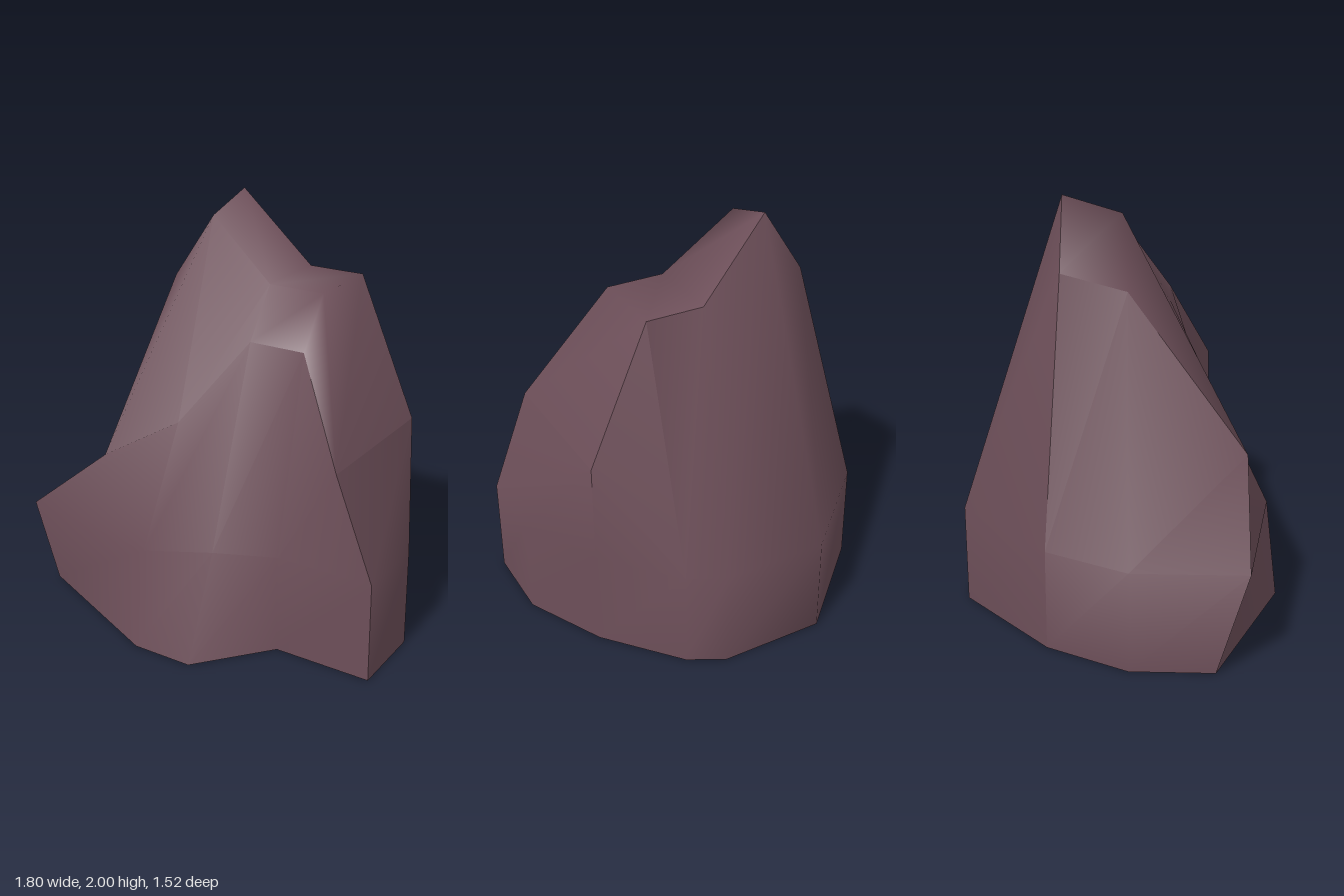
import * as THREE from 'three';

// Rock shell, open underneath, with a tall peak, a lower shoulder and a front buttress.
export function createModel() {
  const stone = new THREE.MeshStandardMaterial({ color: 0x6d4f59, side: THREE.DoubleSide });
  stone.name = 'dusky stone';

  // Ground outline as [x, z], counter-clockwise from above
  const base = [
    [0.9, 0.43], [0.9, 0.05], [0.71, -0.33], [0.42, -0.67], [0.25, -0.76], [-0.26, -0.76],
    [-0.71, -0.33], [-0.9, 0.05], [-0.9, 0.44], [-0.16, 0.76], [0.14, 0.76], [0.42, 0.43],
  ];
  // Outline at the top of the wall: only the front differs
  const mid = base.slice();
  mid[8] = [-0.9, 0.58];
  mid[9] = [-0.14, 0.70];
  mid[10] = [0.14, 0.55];

  const points = {
    sideFront: [0.71, 0.98, 0.43], sideBack: [0.71, 0.98, -0.33],
    buttressL: [0.42, 1.42, 0.22], buttressR: [0.14, 1.42, 0.22],
    shelfFL: [0.42, 1.65, 0.05], shelfBL: [0.42, 1.65, -0.33],
    shelfFR: [0.14, 1.65, 0.05], shelfBR: [0.14, 1.65, -0.33],
    peakF: [-0.2, 1.92, 0], peakB: [-0.2, 2, -0.27],
    neckF: [-0.4, 1.61, 0.03], neckB: [-0.4, 1.69, -0.27],
    ledge: [-0.44, 0.86, 0.58], valley: [-0.15, 1.02, 0.39],
  };
  base.forEach(([x, z], i) => { points['b' + i] = [x, 0, z]; });
  mid.forEach(([x, z], i) => { points['m' + i] = [x, 0.49, z]; });

  // One quad of the lower wall
  const wall = (i) => {
    const j = (i + 1) % base.length;
    return `b${i} b${j} m${j} m${i}`;
  };

  // Parts are smooth inside and sharp where they meet.
  // A starred corner sits in the same place but keeps its own normal, for a local crease.
  const parts = {
    backAndLeftSide: [
      wall(0), wall(1), wall(2), wall(3), wall(4), wall(5),
      'm0 m1 sideBack sideFront', 'm1 m2 sideBack',
      'm2 m3 sideBack*', 'm3 shelfBL* sideBack*',
      'm3 m4 shelfBR shelfBL', 'm4 m5 peakB shelfBR', 'm5 m6 neckB peakB',
    ],
    rightFlank: [wall(6), wall(7), 'm6 m7 neckF neckB', 'm7 m8 ledge neckF'],
    frontAndCrown: [
      wall(8), wall(9), wall(10), wall(11),
      'm8 m9 valley', 'm8 valley ledge', 'm9 buttressR valley',
      'm9 m10 buttressR', 'm10 buttressL buttressR', 'm10 m11 buttressL',
      'm11 sideFront buttressL', 'm11 m0 sideFront',
      'ledge valley peakF', 'ledge peakF neckF', 'valley buttressR shelfFR peakF',
      'buttressR buttressL* shelfFL shelfFR', 'shelfFR shelfFL shelfBL shelfBR',
      'shelfFR shelfBR peakB peakF', 'peakF peakB neckB neckF',
      'sideFront* sideBack shelfBL', 'sideFront* shelfBL shelfFL buttressL*',
    ],
  };

  const group = new THREE.Group();
  group.name = 'rockFormation';
  for (const [name, faces] of Object.entries(parts)) {
    const corners = [...new Set(faces.join(' ').split(' '))];
    const positions = corners.flatMap((key) => points[key.replace('*', '')]);
    // Split each face into a fan of triangles
    const index = [];
    for (const face of faces) {
      const p = face.split(' ').map((key) => corners.indexOf(key));
      for (let k = 1; k < p.length - 1; k++) index.push(p[0], p[k], p[k + 1]);
    }
    const geometry = new THREE.BufferGeometry();
    geometry.setAttribute('position', new THREE.Float32BufferAttribute(positions, 3));
    geometry.setIndex(index);
    geometry.computeVertexNormals();
    const mesh = new THREE.Mesh(geometry, stone);
    mesh.name = name;
    group.add(mesh);
  }
  return group;
}
